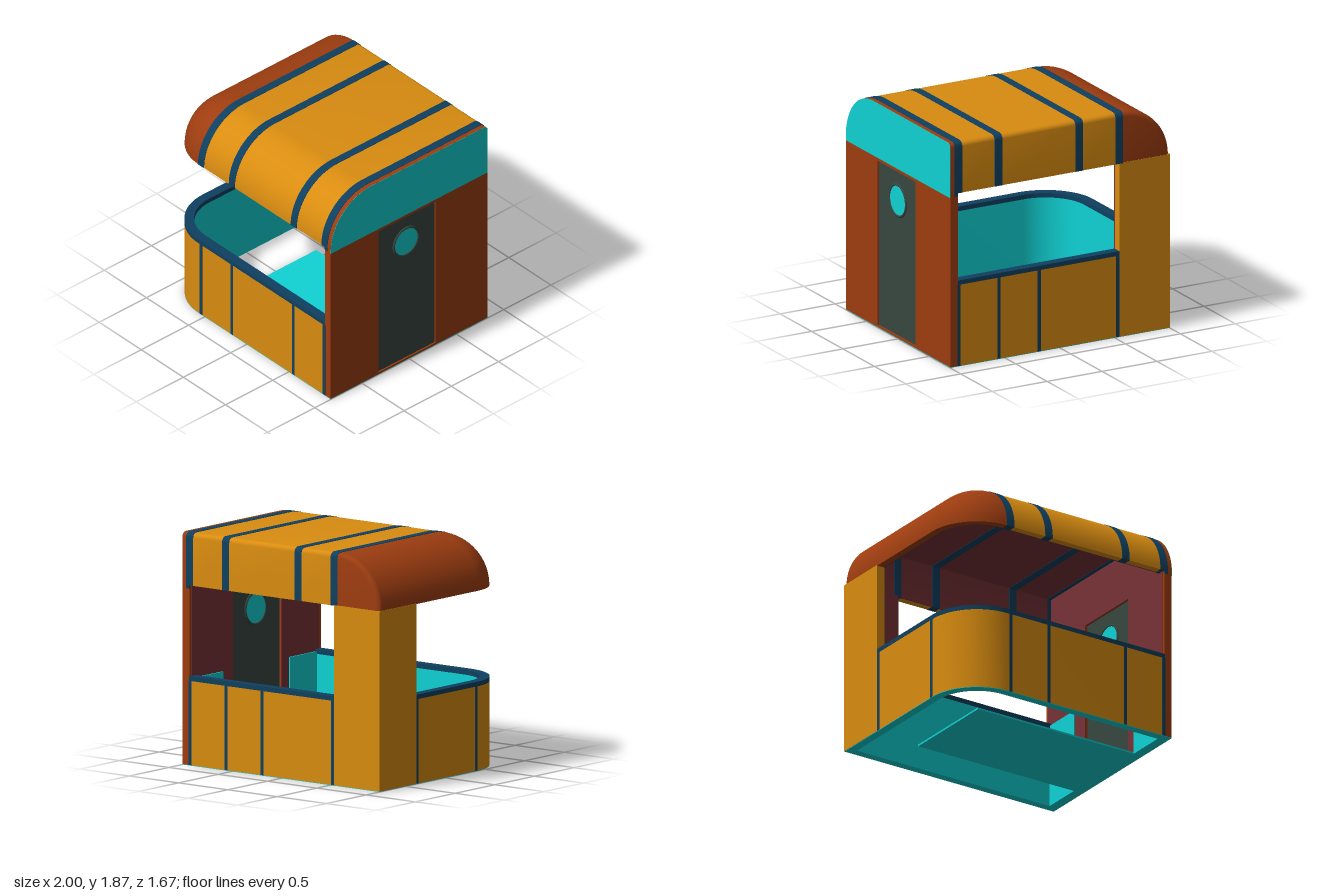
import * as THREE from 'three';
import { toCreasedNormals } from 'three/addons/utils/BufferGeometryUtils.js';

const mat = (color) => new THREE.MeshStandardMaterial({ color });
const YELLOW = mat(0xd98c10), RUST = mat(0x9e3d10), BLUE = mat(0x0f4060);
const CYAN = mat(0x10d2d4), MAROON = mat(0x783236), DARK = mat(0x38463f);

const HX = 1, HZ = 0.83;              // half width and half depth
const R = 0.425, EAVE = 1.445;        // big corner radius, roof edge height
const CX = -HX + R, CZ = HZ - R;      // centre of the rounded front corner
const WALL = 0.93;                    // inner face of the door wall
const RAIL = 0.68;                    // underside of the rail
const BASE = 0.004;
const DOOR = { z: 0.023, w: 0.605, y0: 0.02, y1: 1.39 };

const v2 = (x, y) => new THREE.Vector2(x, y);

function arc(cx, cy, r, a0, a1, n) {
  const pts = [];
  for (let i = 0; i <= n; i++) {
    const a = a0 + (a1 - a0) * i / n;
    pts.push(v2(cx + r * Math.cos(a), cy + r * Math.sin(a)));
  }
  return pts;
}

// Side profile of the roof inset by o, as (-z, y) points from front to back
function arch(o, base = EAVE) {
  const f = Math.max(0.04 - o, 0.005);
  return [
    v2(-HZ + o, base),
    ...arc(-CZ, EAVE, R - o, Math.PI, Math.PI / 2, 18),
    ...arc(HZ - o - f, EAVE + R - o - f, f, Math.PI / 2, 0, 5),
    v2(HZ - o, base),
  ].filter((p, i, a) => i === 0 || p.distanceTo(a[i - 1]) > 1e-6);
}

// Floor plan of the low wall inset by o, as (x, -z) points
function plan(o) {
  return [
    v2(WALL, -HZ + o),
    ...arc(CX, -CZ, R - o, -Math.PI / 2, -Math.PI, 18),
    v2(-HX + o, HZ - o),
    v2(WALL, HZ - o),
  ];
}

// Plan of the L-shaped corner pillar inset by o
const pillarPlan = (o) => [v2(-HX + o, 0.37), v2(-HX + o, HZ - o), v2(-0.54, HZ - o)];

const between = (outline, o1, o2) =>
  new THREE.Shape([...outline(o1), ...outline(o2).reverse()]);

function extrude(shape, depth) {
  const g = new THREE.ExtrudeGeometry(shape, { depth, bevelEnabled: false });
  return toCreasedNormals(g, 0.6);
}
const alongX = (shape, x0, x1) => extrude(shape, x1 - x0).rotateY(Math.PI / 2).translate(x0, 0, 0);
const alongY = (shape, y0, y1) => extrude(shape, y1 - y0).rotateX(-Math.PI / 2).translate(0, y0, 0);

// Rounded roof end: a quarter arc swept along the side and around the corner
function roofEnd(o1, o2) {
  const N = 18;
  const stations = (o) => {
    const r = R - o, back = -HZ + o, f = Math.max(0.04 - o, 0.005);
    const list = [{ z: back, b: 0, r: 0 }];
    for (let k = 0; k <= 5; k++) {
      const a = k / 5 * Math.PI / 2;
      list.push({ z: back + f * (1 - Math.cos(a)), b: 0, r: r - f + f * Math.sin(a) });
    }
    for (let k = 0; k <= N; k++) list.push({ z: CZ, b: k / N * Math.PI / 2, r });
    return list;
  };
  const outer = stations(o1), inner = stations(o2);
  const pos = [], idx = [], cols = 2 * (N + 1);
  const put = (s, t) => pos.push(
    CX - Math.cos(s.b) * s.r * Math.cos(t),
    EAVE + s.r * Math.sin(t),
    s.z + Math.sin(s.b) * s.r * Math.cos(t));
  outer.forEach((s, i) => {
    for (let j = N; j >= 0; j--) put(s, j / N * Math.PI / 2);
    for (let j = 0; j <= N; j++) put(inner[i], j / N * Math.PI / 2);
  });
  for (let i = 0; i < outer.length - 1; i++) {
    for (let j = 0; j < cols - 1; j++) {
      const a = i * cols + j, b = a + cols;
      idx.push(a, a + 1, b, a + 1, b + 1, b);
    }
  }
  const g = new THREE.BufferGeometry();
  g.setAttribute('position', new THREE.Float32BufferAttribute(pos, 3));
  g.setIndex(idx);
  return toCreasedNormals(g, 0.6);
}

export function createModel() {
  const model = new THREE.Group();
  const add = (name, geometry, material) => {
    const mesh = new THREE.Mesh(geometry, material);
    mesh.name = name;
    model.add(mesh);
    return mesh;
  };
  const box = (name, x0, x1, y0, y1, z0, z1, material) => add(name,
    new THREE.BoxGeometry(x1 - x0, y1 - y0, z1 - z0)
      .translate((x0 + x1) / 2, (y0 + y1) / 2, (z0 + z1) / 2), material);

  // Roof: yellow panels between blue ribs, with a maroon ceiling
  for (const [x0, x1] of [[-0.505, -0.21], [-0.14, 0.525], [0.595, 0.89]]) {
    add('roofPanel', alongX(between(arch, 0, 0.06), x0, x1), YELLOW);
    add('ceiling', alongX(between(arch, 0.06, 0.07), x0, x1), MAROON);
  }
  for (const [x0, x1] of [[CX, -0.505], [-0.21, -0.14], [0.525, 0.595], [0.89, 0.96]]) {
    add('roofRib', alongX(between(arch, -0.003, 0.073), x0, x1), BLUE);
  }
  add('roofRibFoot', alongX(between((o) => arch(o, 1.42), -0.003, 0.02), WALL, 0.96), BLUE);
  add('roofEnd', roofEnd(0, 0.06), RUST);
  add('roofEndCeiling', roofEnd(0.06, 0.07), MAROON);

  // Low wall with cyan inside, rail on top
  add('wallBase', alongY(between(plan, 0, 0.07), 0, BASE), CYAN);
  add('lowWall', alongY(between(plan, 0, 0.045), BASE, RAIL), YELLOW);
  add('lowWallLining', alongY(between(plan, 0.045, 0.07), BASE, RAIL), CYAN);
  add('rail', alongY(between(plan, -0.002, 0.075), RAIL, 0.717), BLUE);

  // Thin vertical strips on the low wall
  const P = 0.003, S = 0.014;
  for (const x of [-0.54, -0.175, 0.555, 0.92]) {
    box('frontStrip', x - S, x + S, BASE, RAIL, HZ - 0.02, HZ + P, BLUE);
  }
  for (const x of [-0.525, 0.19, 0.555, 0.92]) {
    box('backStrip', x - S, x + S, BASE, RAIL, -HZ - P, -HZ + 0.02, BLUE);
  }
  for (const z of [-0.355, 0.39]) {
    box('sideStrip', -HX - P, -HX + 0.02, BASE, RAIL, z - S, z + S, BLUE);
  }

  // Corner pillar
  add('pillar', alongY(between(pillarPlan, -0.003, 0.068), BASE, EAVE + 0.005), YELLOW);
  add('pillarLining', alongY(between(pillarPlan, 0.068, 0.08), RAIL, EAVE + 0.005), MAROON);

  // Door wall with its opening
  const doorWall = (o) => {
    const shape = new THREE.Shape([v2(-HZ + o, BASE), ...arch(o), v2(HZ - o, BASE)]);
    const a = -DOOR.z - DOOR.w / 2, b = -DOOR.z + DOOR.w / 2;
    shape.holes.push(new THREE.Path([v2(a, DOOR.y0), v2(b, DOOR.y0), v2(b, DOOR.y1), v2(a, DOOR.y1)]));
    return shape;
  };
  add('doorWall', alongX(doorWall(0), WALL, 0.998), RUST);
  add('doorWallLining', alongX(doorWall(0.03), 0.924, WALL), MAROON);
  add('gablePanel', alongX(new THREE.Shape(arch(0, 1.415)), 0.998, 1), CYAN);
  box('doorWallBase', WALL, 0.998, 0, BASE, -HZ, HZ, CYAN);
  for (const s of [-1, 1]) {
    const z = [0.42 * s, 0.77 * s].sort((a, b) => a - b);
    box('innerPanel', 0.912, WALL, 0, 0.7, z[0], z[1], CYAN);
  }

  // Recessed door with a round window
  box('door', 0.945, 0.985, DOOR.y0, DOOR.y1, DOOR.z - DOOR.w / 2, DOOR.z + DOOR.w / 2, DARK);
  add('windowGlass', new THREE.CylinderGeometry(0.122, 0.122, 0.05, 40)
    .rotateZ(Math.PI / 2).translate(0.965, 1.145, DOOR.z), CYAN);
  for (const x of [0.985, 0.945]) {
    add('windowRing', new THREE.TorusGeometry(0.129, 0.011, 10, 48)
      .rotateY(Math.PI / 2).translate(x, 1.145, DOOR.z), DARK);
  }

  // Floor plate
  box('floor', CX, WALL, 0, 0.015, -0.42, 0.42, CYAN);

  return model;
}
